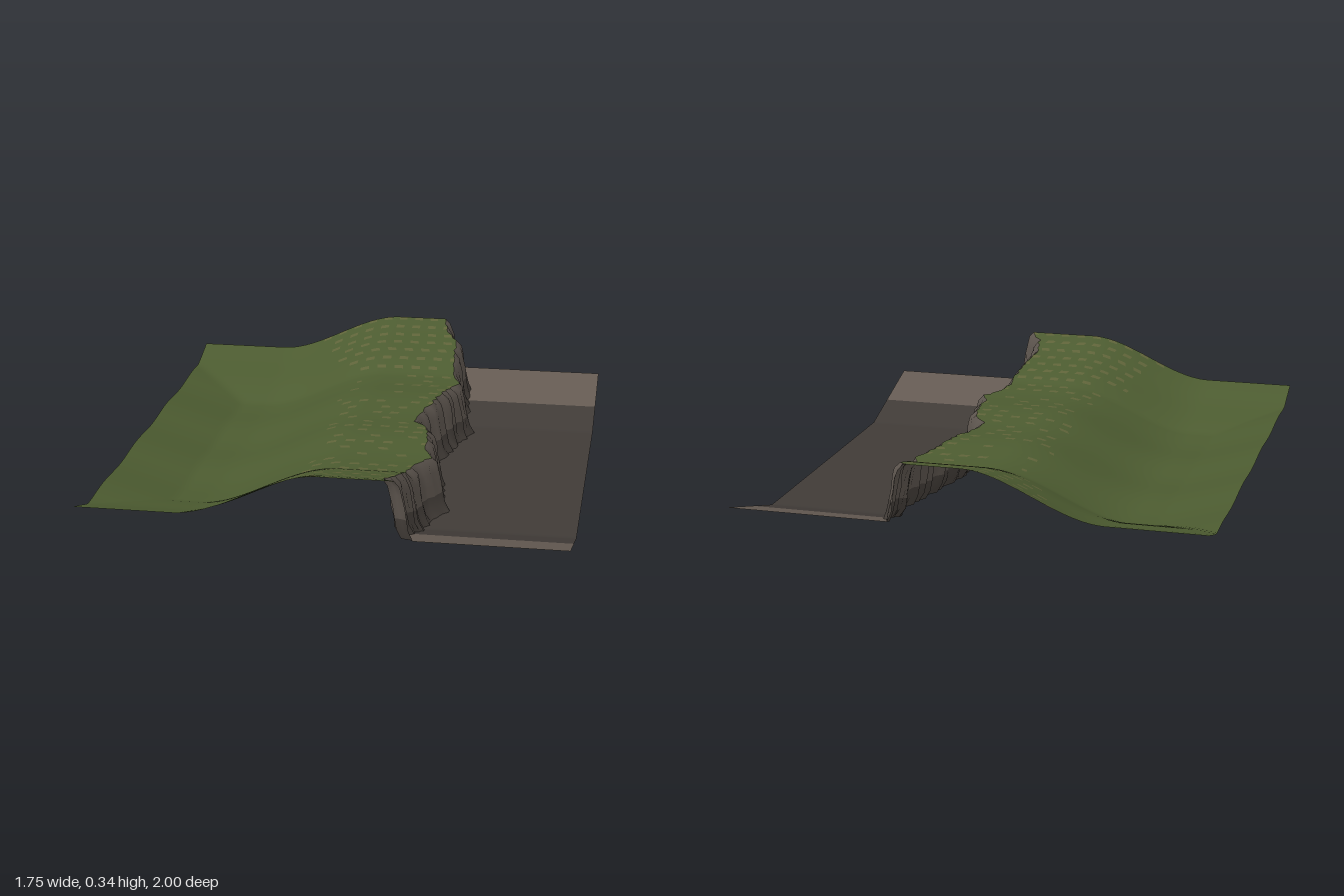
import * as THREE from 'three';

const ROWS = 100, HALF_X = 0.875;
const hash = n => { const s = Math.sin(n * 127.1 + 3.7) * 43758.5453; return s - Math.floor(s); };
const lerp = THREE.MathUtils.lerp;

// Plan position of the cliff's top edge: [z, x], with its overhang to the foot
const EDGE = [[-1, 0.2], [-0.9, 0.23], [-0.84, 0.265], [-0.6, 0.285], [-0.5, 0.325], [-0.4, 0.28], [-0.2, 0.24],
  [-0.1, 0.21], [0, 0.205], [0.06, 0.25], [0.12, 0.275], [0.28, 0.28], [0.4, 0.315], [0.5, 0.26],
  [0.74, 0.24], [0.84, 0.21], [0.94, 0.225], [1, 0.275]];

function edgeX(z) {
  let k = 0;
  while (k < EDGE.length - 2 && z > EDGE[k + 1][0]) k++;
  const [z0, x0] = EDGE[k], [z1, x1] = EDGE[k + 1];
  return lerp(x0, x1, (z - z0) / (z1 - z0)) + (hash(Math.round(z * 50)) - 0.5) * 0.014;
}
const footX = z => edgeX(z) + 0.068 + (hash(Math.round(z * 50) + 300) - 0.5) * 0.012;

// Banks rise at both z ends, and at the -x end of the meadow
const bank = z => 0.3 * Math.max(0, Math.abs(z) - 0.58);
function meadowY(x, z) {
  const hill = 0.165 * THREE.MathUtils.smoothstep(x, -0.52, 0);
  const fade = THREE.MathUtils.smoothstep(1 - Math.abs(z), 0, 0.25);
  const ripple = 0.005 * fade * Math.cos((z - 0.18) * Math.PI * 2 / 0.46);
  return 0.052 + hill + ripple + Math.max(bank(z), 0.3 * Math.max(0, -0.62 - x));
}

// Grid sheet of cols x ROWS cells, split into one mesh per layer by pick(i, j, x, y, z)
function sheet(cols, point, layers, pick) {
  const pos = [], all = [], parts = layers.map(() => []);
  for (let j = 0; j <= ROWS; j++)
    for (let i = 0; i <= cols; i++) pos.push(...point(i / cols, -1 + 2 * j / ROWS, i, j));
  for (let j = 0; j < ROWS; j++) {
    for (let i = 0; i < cols; i++) {
      const a = j * (cols + 1) + i, b = a + cols + 1;
      const quad = [a, b, a + 1, b, b + 1, a + 1];
      all.push(...quad);
      parts[pick(i, j, pos[a * 3], pos[a * 3 + 1], -1 + 2 * (j + 0.5) / ROWS)].push(...quad);
    }
  }
  const geo = new THREE.BufferGeometry();
  geo.setAttribute('position', new THREE.Float32BufferAttribute(pos, 3));
  geo.setIndex(all);
  geo.computeVertexNormals();
  return layers.map(([name, color], k) => {
    const g = geo.clone();
    g.setIndex(parts[k]);
    const mesh = new THREE.Mesh(g, new THREE.MeshStandardMaterial({ color, side: THREE.DoubleSide }));
    mesh.name = name;
    return mesh;
  });
}

export function createModel() {
  const group = new THREE.Group();
  group.name = 'cliffTerrain';

  // Grassy meadow and hill, with dry tufts on the higher ground
  group.add(...sheet(64, (u, z) => {
    const x = lerp(-HALF_X, edgeX(z), u);
    return [x, meadowY(x, z), z];
  }, [['grass', 0x4c5b30], ['dryGrass', 0x5f6339]], (i, j, x, y) => {
    const tuft = (i + Math.floor(j / 3)) % 4 < 2 && j % 3 === 0;
    const block = Math.floor((i + Math.floor(j / 3)) / 4) * 57 + j;
    return tuft && y > 0.185 && x > -0.4 && hash(block) < 0.35 + (y - 0.185) * 9 ? 1 : 0;
  }));

  // Rock face: [fraction across, fraction down] from rim to foot
  const face = [[0, 0], [0.28, 0.1], [0.42, 0.25], [0.52, 0.45], [0.62, 0.65], [0.75, 0.84], [1, 1]];
  group.add(...sheet(face.length - 1, (u, z, i, j) => {
    const [across, down] = face[i], top = edgeX(z), foot = footX(z);
    const inner = i > 0 && i < face.length - 1;
    const rough = inner ? (hash(j + 500) - 0.5) * 0.016 + (hash(j * 7 + i) - 0.5) * 0.006 : 0;
    return [lerp(top, foot, across) + rough, lerp(meadowY(top, z), bank(z), down), z];
  }, [['cliffFace', 0x5e564f], ['cliffFoot', 0x46403b]], i => (i >= 4 ? 1 : 0)));

  // Low rocky floor, paler where it climbs at both ends
  group.add(...sheet(8, (u, z) => [lerp(footX(z), HALF_X, u), bank(z), z],
    [['lowerFloor', 0x403b37], ['floorBanks', 0x645a52]], (i, j, x, y, z) => (Math.abs(z) > 0.76 ? 1 : 0)));

  return group;
}
